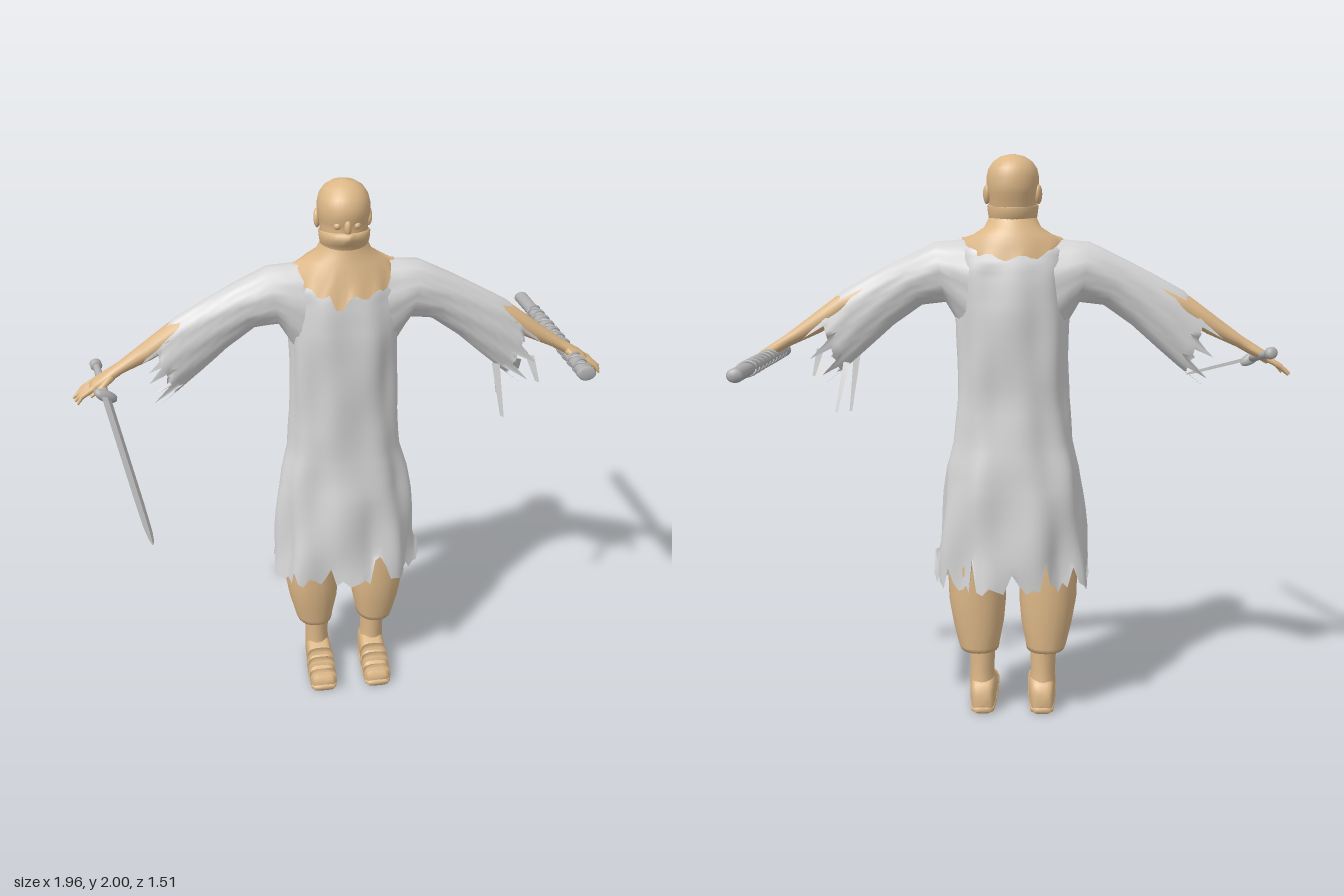
import * as THREE from 'three';

const V = (x, y, z) => new THREE.Vector3(x, y, z);
const mat = (name, color) => {
  const m = new THREE.MeshStandardMaterial({ color, side: THREE.DoubleSide });
  m.name = name;
  return m;
};

// Closed super-ellipse: starts at u and turns towards v
function ring(c, u, v, n, pow = 1) {
  const sp = (t) => Math.sign(t) * Math.pow(Math.abs(t), pow);
  return Array.from({ length: n }, (_, j) => {
    const a = (j / n) * Math.PI * 2;
    return c.clone().addScaledVector(u, sp(Math.cos(a))).addScaledVector(v, sp(Math.sin(a)));
  });
}

// Skin through a list of rings, optionally closed at both ends
function loft(name, rings, material, cap = false, flat = false) {
  const n = rings[0].length;
  if (cap) {
    const mid = (r) => {
      const m = r.reduce((s, p) => s.add(p), V(0, 0, 0)).divideScalar(n);
      return r.map(() => m.clone());
    };
    rings = [mid(rings[0]), ...rings, mid(rings[rings.length - 1])];
  }
  const idx = [];
  for (let i = 0; i < rings.length - 1; i++) for (let j = 0; j < n; j++) {
    const a = i * n + j, b = i * n + (j + 1) % n;
    idx.push(a, b, b + n, a, b + n, a + n);
  }
  let g = new THREE.BufferGeometry().setFromPoints(rings.flat());
  g.setIndex(idx);
  if (flat) g = g.toNonIndexed();
  g.computeVertexNormals();
  const m = new THREE.Mesh(g, material);
  m.name = name;
  return m;
}

// Upright body section from rows of [y, halfWidth, zFront, zBack, x]
const section = ([y, w, f, b, x = 0], n, pow = 1) =>
  ring(V(x, y, (f + b) / 2), V(0, 0, (f - b) / 2), V(w, 0, 0), n, pow);

// Insert k linear steps between rows
function refine(rows, k) {
  const out = [];
  for (let i = 0; i < rows.length - 1; i++) for (let s = 0; s < k; s++)
    out.push(rows[i].map((a, q) => a + (rows[i + 1][q] - a) * s / k));
  return [...out, rows[rows.length - 1]];
}

// Limb with flattened sections, from [x, y, z, thickness, width]
const limb = (name, rows, dir, material) => loft(name, rows.map(([x, y, z, h, w]) =>
  ring(V(x, y, z), V(-dir.y, dir.x, 0).multiplyScalar(h), V(0, 0, w), 12)), material, true);

function seeded(s) {
  return () => { s = (s * 16807) % 2147483647; return s / 2147483647; };
}

export function createModel() {
  const model = new THREE.Group();
  model.name = 'robedSwordsman';
  const skin = mat('tan', 0xdcb787);
  const cloth = mat('pale cloth', 0xd4d4d4);
  const steel = mat('steel', 0xb0b0b0);
  const rnd = seeded(71);

  // Robe with folds and a torn hem
  const N = 80;
  const robeRows = refine([
    [0.48, 0.275, 0.06, -0.295], [0.62, 0.262, 0.05, -0.29], [0.8, 0.248, 0.035, -0.285],
    [0.9, 0.236, 0.02, -0.275], [1.0, 0.21, 0.012, -0.262], [1.15, 0.197, 0.01, -0.25],
    [1.3, 0.195, 0.014, -0.258], [1.45, 0.197, 0.018, -0.262], [1.55, 0.2, 0.008, -0.255],
    [1.62, 0.205, -0.005, -0.245], [1.67, 0.2, -0.03, -0.228], [1.7, 0.17, -0.06, -0.2],
    [1.715, 0.08, -0.09, -0.17]], 3);
  const robe = robeRows.map((row) => {
    const ps = section(row, N, 0.88), y = row[0];
    const amp = 0.004 + 0.009 * Math.max(0, (1 - y) / 0.5);
    ps.forEach((p, j) => {
      const a = (j / N) * Math.PI * 2;
      const f = amp * (Math.sin(a * 9 + y * 3) + 0.6 * Math.sin(a * 5 - y * 14)) * (y > 1.6 ? 0.4 : 1);
      p.x += Math.sin(a) * f;
      p.z += Math.cos(a) * f;
    });
    return ps;
  });
  robe[0].forEach((p, j) => { p.y += (j % 3 ? 0.035 : 0) * rnd() - 0.01; });
  for (const [j, h] of [[4, 0.09], [5, 0.1], [6, 0.06], [77, 0.06], [70, 0.05], [18, 0.1], [28, 0.07],
    [34, 0.11], [40, 0.06], [45, 0.1], [51, 0.08], [61, 0.1]]) {
    for (let i = 0; i < 3; i++) robe[i][j].y = Math.max(robe[i][j].y, 0.48 + h + i * 0.005);
  }
  model.add(loft('robe', robe, cloth));

  // Cowl lying on the shoulders, with an uneven lower edge
  const cowl = [0, 1, 2, 3, 4].map((i) => {
    const r = [[0, 0.178, 0.024, -0.256], [0, 0.17, 0.004, -0.246], [1.725, 0.14, -0.012, -0.235],
      [1.75, 0.1, -0.022, -0.215], [1.79, 0.08, -0.028, -0.19]][i];
    const ps = section(r, 48);
    if (i < 2) ps.forEach((p, j) => {
      const c = Math.cos((j / 48) * Math.PI * 2);
      const drop = c > 0 ? 0.09 * c ** 0.7 : 0.06 * Math.abs(c);
      p.y = (i ? 1.715 - drop * 0.55 : 1.705 - drop);
      if (!i) p.y += c > 0 ? (j === 46 || j === 47 ? -0.04 : 0.012 * Math.sin(j * 1.7)) : 0.01 * Math.sin(j * 1.3);
    });
    return ps;
  });
  model.add(loft('cowl', cowl, skin));

  // Head and the mask wrapped round the lower face
  model.add(loft('head', [[1.74, 0.07, -0.04, -0.185], [1.8, 0.08, -0.02, -0.2], [1.845, 0.084, -0.016, -0.214],
    [1.865, 0.086, -0.018, -0.221], [1.885, 0.091, -0.006, -0.225], [1.92, 0.092, -0.008, -0.225],
    [1.95, 0.085, -0.02, -0.217], [1.975, 0.068, -0.042, -0.196], [1.992, 0.042, -0.072, -0.165],
    [2.0, 0.008, -0.11, -0.126]].map((r) => section(r, 32, 0.95)), skin, true));
  const mask = [[1.75, 0.083, -0.03, -0.195], [1.775, 0.08, -0.026, -0.192], [1.795, 0.085, -0.012, -0.198],
    [1.815, 0.088, 0.002, -0.203], [1.835, 0.09, 0.002, -0.208], [1.84, 0.085, -0.012, -0.203]].map((r, i) => {
    const ps = section(r, 32);
    ps.forEach((p, j) => {
      const c = Math.cos((j / 32) * Math.PI * 2);
      if (i > 1) p.y -= 0.02 * (1 - c) / 2;
      if (i > 2 && j === 0) p.z += 0.01;
    });
    return ps;
  });
  model.add(loft('mask', mask, skin));
  const noseBridge = new THREE.Mesh(new THREE.SphereGeometry(1, 12, 8), skin);
  noseBridge.name = 'noseBridge';
  noseBridge.scale.set(0.013, 0.03, 0.016);
  noseBridge.position.set(0, 1.858, -0.014);
  model.add(noseBridge);

  // Mirrored parts: ear, arm, sleeve, trouser leg and foot
  for (const side of [1, -1]) {
    const half = new THREE.Group();
    half.name = side > 0 ? 'leftSide' : 'rightSide';
    half.scale.x = side;
    model.add(half);

    const ear = new THREE.Mesh(new THREE.SphereGeometry(1, 12, 10), skin);
    ear.name = 'ear';
    ear.scale.set(0.012, 0.034, 0.02);
    ear.position.set(0.09, 1.862, -0.14);
    ear.rotation.set(-0.2, 0.3, 0);
    const eye = new THREE.Mesh(new THREE.SphereGeometry(0.013, 10, 8), skin);
    eye.name = 'eye';
    eye.position.set(0.034, 1.862, -0.028);
    half.add(ear, eye);

    // Sleeve from [topX, topY, bottomX, bottomY, halfDepth]
    const sleeve = refine([[0.13, 1.712, 0.17, 1.38, 0.1], [0.27, 1.7, 0.235, 1.49, 0.085], [0.4, 1.637, 0.32, 1.48, 0.068],
      [0.5, 1.585, 0.42, 1.41, 0.06], [0.6, 1.53, 0.51, 1.33, 0.056], [0.66, 1.475, 0.585, 1.265, 0.052],
      [0.7, 1.43, 0.635, 1.225, 0.05]], 2).map(([tx, ty, bx, by, d], i) => {
      const ps = ring(V((tx + bx) / 2, (ty + by) / 2, -0.125), V((tx - bx) / 2, (ty - by) / 2, 0), V(0, 0, d), 32);
      ps.forEach((p, j) => { p.z += 0.005 * Math.sin(j * 1.9 + i * 0.7); });
      return ps;
    });
    sleeve[sleeve.length - 1].forEach((p, j) => {
      const t = (j % 4 === 0 ? 0.05 : -0.06 * (j % 2 + 0.4)) * (0.6 + 0.6 * rnd());
      p.x += t * 0.8;
      p.y -= t * 0.62;
    });
    half.add(loft('sleeve', sleeve, cloth));

    // Arm and hand
    half.add(limb('arm', [[0.45, 1.55, -0.125, 0.04, 0.045], [0.6, 1.475, -0.125, 0.042, 0.044], [0.7, 1.41, -0.125, 0.034, 0.038],
      [0.8, 1.352, -0.125, 0.021, 0.027], [0.84, 1.328, -0.123, 0.02, 0.036], [0.89, 1.3, -0.122, 0.017, 0.046],
      [0.91, 1.286, -0.122, 0.012, 0.043]], V(0.87, -0.5, 0), skin));
    for (let k = -1.5; k <= 1.5; k++) {
      const e = 0.978 - Math.abs(k + 0.4) * 0.01, z = -0.122 + k * 0.024;
      half.add(limb('finger', [[0.895, 1.295, z, 0.011, 0.011], [0.94, 1.268, z + k * 0.003, 0.0095, 0.0095],
        [e, 1.24, z + k * 0.005, 0.005, 0.005]], V(0.85, -0.53, 0), skin));
    }
    half.add(limb('thumb', [[0.83, 1.33, -0.1, 0.013, 0.014], [0.87, 1.3, -0.073, 0.011, 0.012],
      [0.91, 1.272, -0.066, 0.006, 0.007]], V(0.8, -0.6, 0), skin));

    // Baggy trouser leg gathered over the shin
    half.add(loft('trouserLeg', [[0.232, 0.045, -0.07, -0.19, 0.112], [0.234, 0.07, -0.04, -0.235, 0.12],
      [0.25, 0.074, -0.038, -0.24, 0.122], [0.33, 0.092, -0.02, -0.245, 0.124], [0.42, 0.104, -0.008, -0.25, 0.128],
      [0.55, 0.106, -0.005, -0.25, 0.13], [0.75, 0.095, -0.01, -0.24, 0.125]].map((r) => section(r, 24, 0.9)), skin));
    half.add(loft('shin', [[0.09, 0.048, -0.07, -0.195, 0.11], [0.15, 0.044, -0.075, -0.185, 0.112],
      [0.26, 0.05, -0.065, -0.19, 0.112]].map((r) => section(r, 20)), skin));

    // Shoe sections along z: [z, top, halfWidth]
    const shoeRing = ([z, h, w], low = 0) =>
      ring(V(0.108, (h + low) / 2, z), V(0, (h - low) / 2, 0), V(-w, 0, 0), 24, 0.6);
    half.add(loft('shoe', [[-0.212, 0.07, 0.028], [-0.2, 0.105, 0.04], [-0.15, 0.135, 0.048], [-0.09, 0.135, 0.049],
      [-0.03, 0.105, 0.05], [0.005, 0.085, 0.05], [0.01, 0.066, 0.048], [0.055, 0.06, 0.046],
      [0.068, 0.045, 0.04]].map((r) => shoeRing(r)), skin, true));
    half.add(loft('sole', [[-0.215, 0.022, 0.028], [-0.2, 0.022, 0.042], [-0.1, 0.022, 0.049], [0, 0.022, 0.053],
      [0.06, 0.022, 0.05], [0.075, 0.022, 0.04]].map((r) => shoeRing(r)), skin, true));
    for (const [z, h] of [[-0.035, 0.115], [-0.002, 0.096], [0.045, 0.072]])
      half.add(loft('strap', [[z - 0.01, h + 0.005, 0.053], [z + 0.01, h - 0.004, 0.053]].map((r) => shoeRing(r)), skin, true));
  }

  // Torn strips hanging from the left sleeve
  for (const [x, y, z, w, len, lean] of [[0.56, 1.3, -0.08, 0.022, 0.21, 0.02], [0.585, 1.28, -0.17, 0.02, 0.17, -0.06],
    [0.66, 1.28, -0.16, 0.03, 0.08, -0.09], [0.69, 1.32, -0.09, 0.025, 0.1, 0.02]]) {
    const g = new THREE.PlaneGeometry(w, len, 1, 3);
    const p = g.attributes.position;
    for (let i = 0; i < p.count; i++) {
      const t = 0.5 - p.getY(i) / len;
      p.setXYZ(i, p.getX(i) * (1.2 - t * 0.7) + t * 0.03, -t * len, lean * t + p.getX(i) * 0.6);
    }
    g.computeVertexNormals();
    const strip = new THREE.Mesh(g, cloth);
    strip.name = 'tornStrip';
    strip.position.set(x, y, z);
    model.add(strip);
  }

  // Sword in the right hand, built along its own z from the guard
  const along = (rows, n, pow) => rows.map(([z, h, w]) => ring(V(0, 0, z), V(0, h, 0), V(-w, 0, 0), n, pow));
  const sword = new THREE.Group();
  sword.name = 'sword';
  sword.add(loft('blade', along([[0, 0.007, 0.02], [0.6, 0.006, 0.018], [0.75, 0.005, 0.015], [0.8, 0.003, 0.009],
    [0.817, 0.001, 0.002]], 4), steel, true, true));
  sword.add(loft('guard', along([[-0.012, 0.014, 0.03], [-0.004, 0.02, 0.047], [0.012, 0.02, 0.042], [0.022, 0.012, 0.026]], 16), steel, true));
  sword.add(loft('grip', along([[-0.2, 0.013, 0.013], [-0.1, 0.015, 0.015], [0, 0.014, 0.014]], 12), steel, true));
  sword.add(loft('pommel', along([[-0.217, 0.013, 0.014], [-0.21, 0.021, 0.022], [-0.192, 0.021, 0.022], [-0.185, 0.013, 0.014]], 12), steel, true));
  sword.position.set(-0.857, 1.285, -0.04);
  sword.lookAt(-0.715, 1.135, 0.75);
  sword.rotateZ(-0.55);
  model.add(sword);

  // Scabbard in the left hand, with a crossed cord wrap
  const scabbard = new THREE.Group();
  scabbard.name = 'scabbard';
  scabbard.add(loft('sheath', along([[-0.76, 0.016, 0.02], [-0.75, 0.023, 0.028], [-0.6, 0.022, 0.027], [0.04, 0.022, 0.029],
    [0.045, 0.026, 0.035], [0.065, 0.026, 0.035], [0.07, 0.02, 0.028]], 16), steel, true));
  for (const turn of [1, -1]) {
    const pts = Array.from({ length: 161 }, (_, i) => {
      const a = turn * i * Math.PI / 8;
      return V(Math.cos(a) * 0.029, Math.sin(a) * 0.023, 0.03 - i * 0.0039);
    });
    const cord = new THREE.Mesh(new THREE.TubeGeometry(new THREE.CatmullRomCurve3(pts), 240, 0.0045, 5), steel);
    cord.name = 'cordWrap';
    scabbard.add(cord);
  }
  scabbard.position.set(0.86, 1.3, 0);
  scabbard.rotation.y = 0.025;
  model.add(scabbard);

  return model;
}
